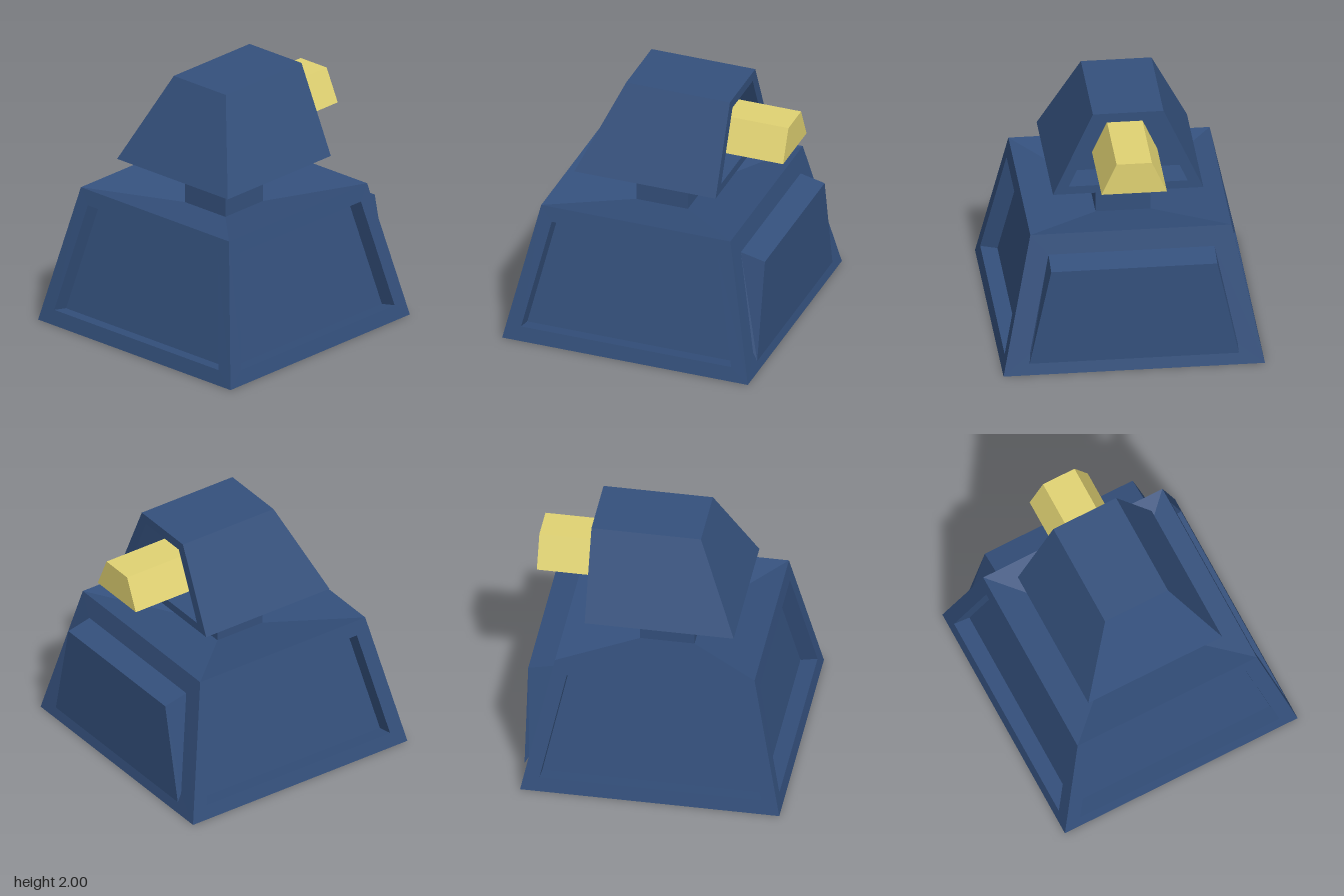
import * as THREE from 'three';

const blue = new THREE.MeshStandardMaterial({ color: 0x34507c, flatShading: true });
const yellow = new THREE.MeshStandardMaterial({ color: 0xe0d272, flatShading: true });

// Upright trapezoid facing +z: half width, height and depth of its bottom and top edges
const upright = (bw, by, bz, tw, ty, tz) =>
  [[-bw, by, bz], [bw, by, bz], [tw, ty, tz], [-tw, ty, tz]];

// Level rectangle facing up
const level = (y, w, front, back) =>
  [[-w, y, front], [w, y, front], [w, y, back], [-w, y, back]];

// Joins four-cornered rings from the outside in and closes the last one;
// skip leaves out one of the four sides
function loft(rings, skip = -1) {
  const pos = [];
  const quad = (a, b, c, d) => pos.push(...a, ...b, ...c, ...a, ...c, ...d);
  for (let r = 0; r + 1 < rings.length; r++) {
    for (let i = 0; i < 4; i++) {
      if (i === skip) continue;
      const j = (i + 1) % 4;
      quad(rings[r][i], rings[r][j], rings[r + 1][j], rings[r + 1][i]);
    }
  }
  quad(...rings[rings.length - 1]);
  const geo = new THREE.BufferGeometry();
  geo.setAttribute('position', new THREE.Float32BufferAttribute(pos, 3));
  geo.computeVertexNormals();
  return geo;
}

function add(parent, name, geo, material = blue) {
  const mesh = new THREE.Mesh(geo, material);
  mesh.name = name;
  parent.add(mesh);
  return mesh;
}

export function createModel() {
  const model = new THREE.Group();
  model.name = 'model';

  // Base: tapered block with sunken panels on the front and both sides
  const base = new THREE.Group();
  base.name = 'base';
  model.add(base);
  const wall = upright(1, 0, 1, 0.77, 1.09, 0.77);
  const panel = loft([
    wall,
    upright(0.855, 0.115, 0.976, 0.675, 0.975, 0.794),
    upright(0.855, 0.087, 0.844, 0.675, 0.947, 0.662),
  ]);
  ['frontPanel', 'leftPanel', 'rightPanel'].forEach((name, i) => {
    add(base, name, panel).rotation.y = [0, Math.PI / 2, -Math.PI / 2][i];
  });

  // Raised panel on the back of the base
  add(base, 'backPanel', loft([
    wall,
    upright(0.795, 0.165, 0.965, 0.635, 0.93, 0.804),
    upright(0.8, 0.1, 1, 0.635, 0.885, 1),
  ])).rotation.y = Math.PI;

  // Underside, and the top that sinks toward the neck
  add(base, 'baseBottom', loft([level(0, 1, 1, -1).reverse()]));
  add(base, 'baseTop', loft([level(1.09, 0.77, 0.77, -0.77), level(0.955, 0.21, 0.21, -0.21)]));

  // Neck
  const neck = add(model, 'neck', new THREE.BoxGeometry(0.42, 0.365, 0.42));
  neck.position.y = 1.1375;

  // Head: sloped front and sides, upright back with a deep opening
  const head = new THREE.Group();
  head.name = 'head';
  model.add(head);
  const headFoot = level(1.32, 0.575, 0.575, -0.575);
  add(head, 'headShell', loft([headFoot, level(2, 0.27, 0.27, -0.575)], 2));
  add(head, 'headBottom', loft([[...headFoot].reverse()]));
  add(head, 'headBack', loft([
    upright(0.575, 1.32, 0.575, 0.27, 2, 0.575),
    upright(0.455, 1.385, 0.575, 0.215, 1.925, 0.575),
    upright(0.455, 1.385, 0.325, 0.215, 1.925, 0.325),
  ])).rotation.y = Math.PI;

  // Bar sticking out of the opening
  const section = new THREE.Shape([[-0.25, 1.535], [0.25, 1.535], [0.135, 1.79], [-0.135, 1.79]]
    .map(([x, y]) => new THREE.Vector2(x, y)));
  const bar = new THREE.ExtrudeGeometry(section, { depth: 0.675, bevelEnabled: false });
  add(model, 'bar', bar, yellow).position.z = -1;

  return model;
}
